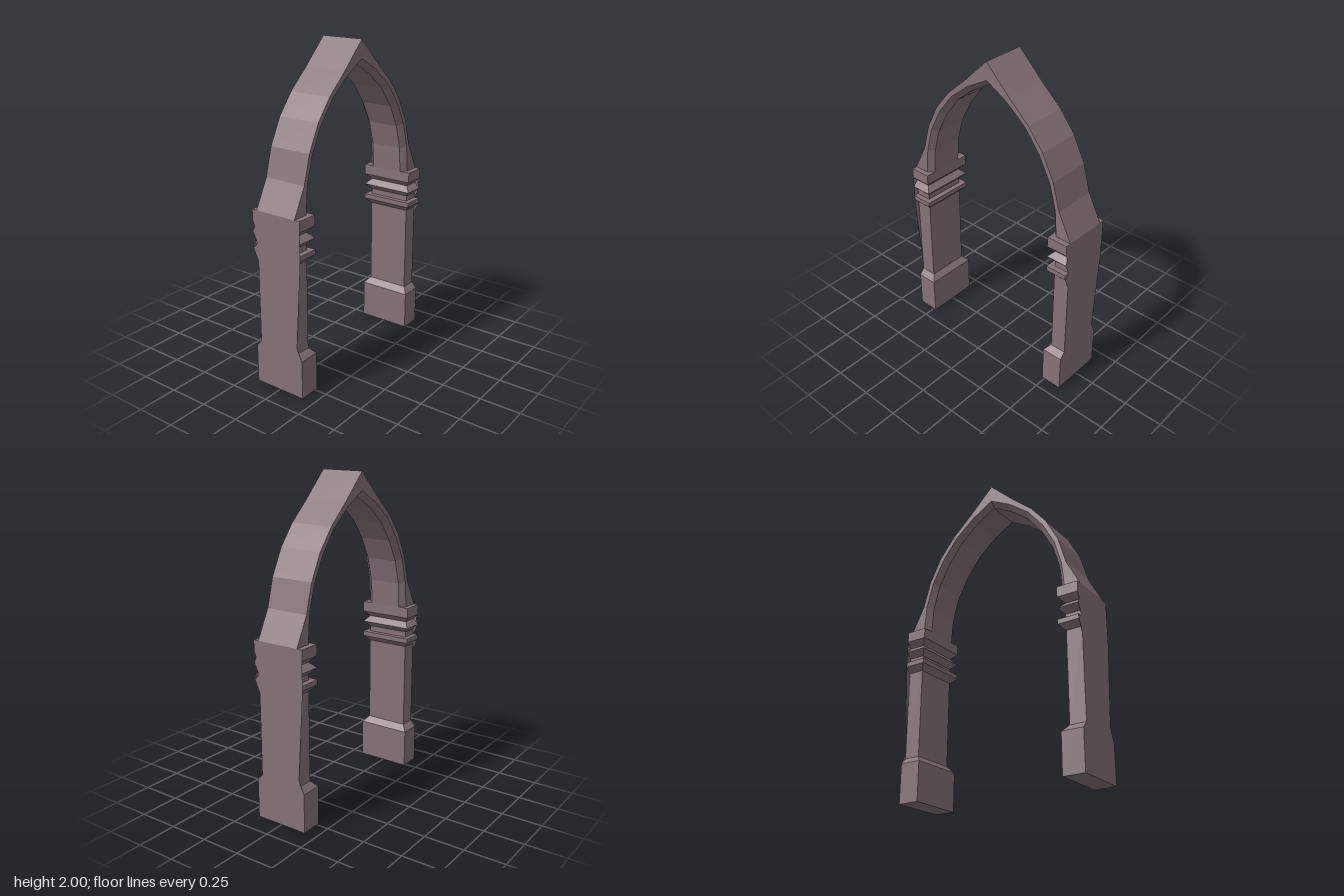
import * as THREE from 'three';

const stone = new THREE.MeshStandardMaterial({ color: 0x86737a, side: THREE.DoubleSide });
stone.name = 'mauve stone';

const OUT = 0.618;   // outer face of the pillars
const WIDE = 0.171;  // half depth of plinth and mouldings
const SLIM = 0.137;  // half depth of shaft and arch

// Joins cross-sections into a flat-shaded surface; closed rings wrap round.
function loft(rings, closed, caps) {
  const pos = [];
  const quad = (a, b, c, d) => [a, b, c, a, c, d].forEach(p => pos.push(...p));
  const n = rings[0].length;
  for (let i = 0; i + 1 < rings.length; i++) {
    const a = rings[i], b = rings[i + 1];
    for (let k = 0; k < (closed ? n : n - 1); k++) {
      const m = (k + 1) % n;
      quad(a[m], a[k], b[k], b[m]);
    }
  }
  if (caps) {
    quad(...rings[0]);
    quad(...[...rings[rings.length - 1]].reverse());
  }
  const g = new THREE.BufferGeometry();
  g.setAttribute('position', new THREE.Float32BufferAttribute(pos, 3));
  g.computeVertexNormals();
  return g;
}

function mesh(geometry, name) {
  const m = new THREE.Mesh(geometry, stone);
  m.name = name;
  return m;
}

// Three-sided moulded pillar: plinth, shaft and stacked capital.
function pillarGeometry() {
  // [height, inset flag]
  const profile = [
    [0, 0], [0.242, 0], [0.28, 1], [0.83, 1], [0.865, 0], [0.895, 0],
    [0.895, 1], [0.93, 1], [0.965, 0], [1.0, 1], [1.035, 0], [1.1, 0],
  ];
  const rings = profile.map(([y, inset]) => {
    const x = inset ? 0.517 : 0.483, z = inset ? SLIM : WIDE;
    return [[OUT, y, z], [x, y, z], [x, y, -z], [OUT, y, -z]];
  });
  return loft(rings, false, true);
}

// Flat outer side, notched at the front edge and tapered at the back edge.
function sideGeometry() {
  const points = [
    [-WIDE, 0], [WIDE, 0], [WIDE, 0.242], [SLIM, 0.32], [WIDE, 0.84], [WIDE, 1.1],
    [-WIDE, 1.1], [-WIDE, 1.035], [-0.158, 1.0], [-WIDE, 0.965], [-0.14, 0.9],
    [-WIDE, 0.865], [-SLIM, 0.79], [-SLIM, 0.28], [-WIDE, 0.242],
  ].map(p => new THREE.Vector2(...p));
  return new THREE.ShapeGeometry(new THREE.Shape(points)).rotateY(Math.PI / 2).translate(OUT, 0, 0);
}

// Half of the pointed arch with chamfered inner edges.
function archGeometry() {
  const outer = [[OUT, 1.1], [0.53, 1.27], [0.482, 1.44], [0.402, 1.595], [0.3, 1.72], [0.165, 1.84], [0, 2]];
  const edge = [[0.517, 1.1], [0.502, 1.268], [0.458, 1.425], [0.38, 1.572], [0.277, 1.703], [0.143, 1.81], [0, 1.89]];
  const inner = [[0.483, 1.1], [0.472, 1.258], [0.43, 1.41], [0.355, 1.55], [0.257, 1.678], [0.132, 1.78], [0, 1.855]];
  const depth = 0.103;
  const rings = outer.map((o, i) => [
    [...o, SLIM], [...edge[i], SLIM], [...inner[i], depth],
    [...inner[i], -depth], [...edge[i], -SLIM], [...o, -SLIM],
  ]);
  return loft(rings, true, false);
}

export function createModel() {
  const model = new THREE.Group();
  model.name = 'pointed archway';
  const pillar = pillarGeometry(), side = sideGeometry(), arch = archGeometry();

  // The second half is the first turned half way round.
  for (const [name, turn] of [['left', 0], ['right', Math.PI]]) {
    const half = new THREE.Group();
    half.name = name + 'Half';
    half.add(mesh(pillar, name + 'Pillar'), mesh(side, name + 'PillarSide'), mesh(arch, name + 'Arch'));
    half.rotation.y = turn;
    model.add(half);
  }
  return model;
}
